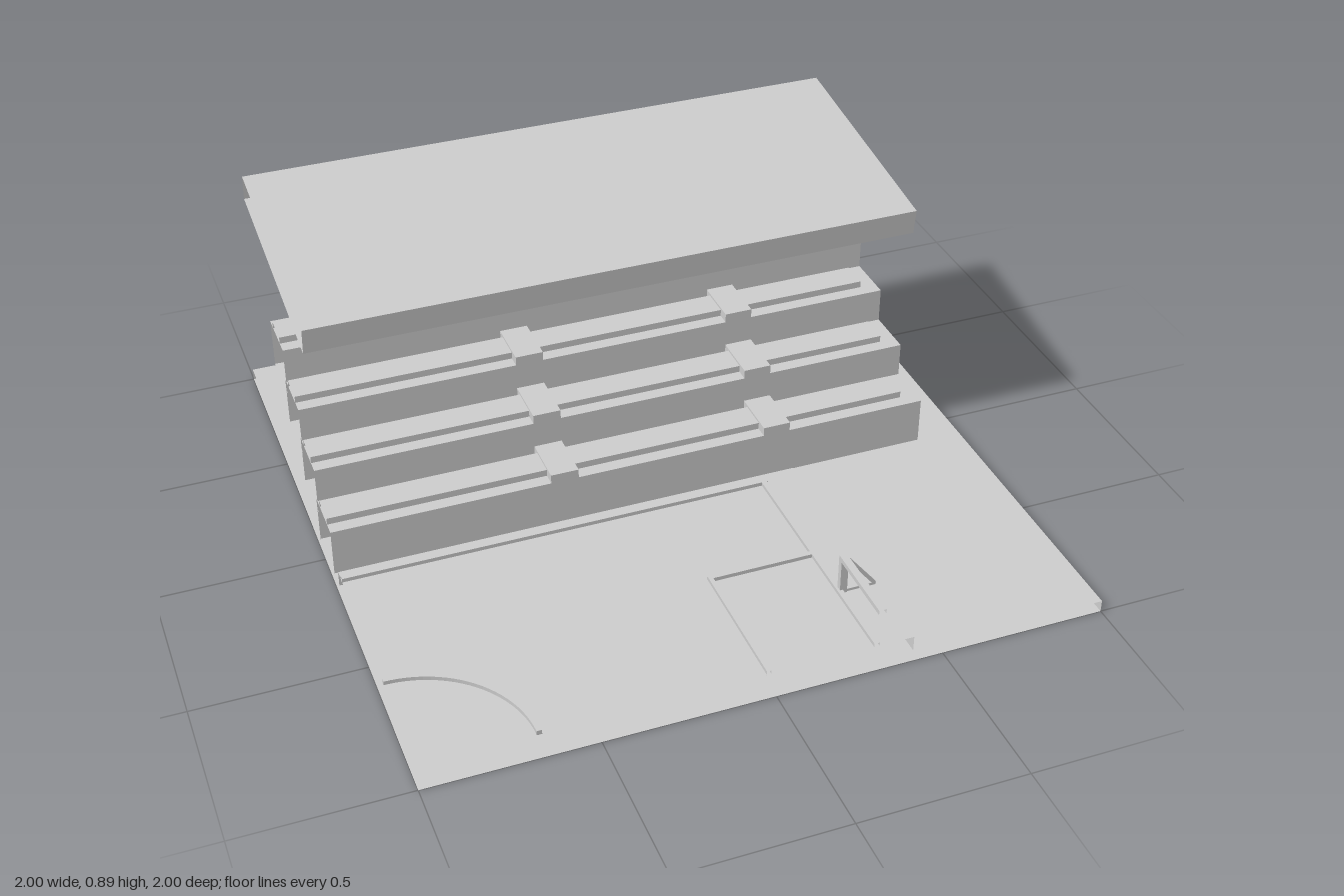
import * as THREE from 'three';

export function createModel() {
  const root = new THREE.Group();
  const grey = new THREE.MeshStandardMaterial({ color: 0xcccccc, side: THREE.DoubleSide });
  grey.name = 'plain grey';

  const add = (parent, name, geometry) => {
    const mesh = new THREE.Mesh(geometry, grey);
    mesh.name = name;
    parent.add(mesh);
    return mesh;
  };
  const group = (name) => {
    const g = new THREE.Group();
    g.name = name;
    root.add(g);
    return g;
  };

  // Box between two corners; faces lying on the cut planes x = -1 and z = 1 stay open.
  const block = (parent, name, x0, x1, y0, y1, z0, z1) => {
    const g = new THREE.BoxGeometry(x1 - x0, y1 - y0, z1 - z0);
    const all = Array.from(g.index.array);
    const kept = all.filter((_, i) => {
      const face = Math.floor(i / 6);
      return !(face === 1 && x0 <= -1) && !(face === 4 && z1 >= 1);
    });
    g.setIndex(kept);
    g.clearGroups();
    g.translate((x0 + x1) / 2, (y0 + y1) / 2, (z0 + z1) / 2);
    return add(parent, name, g);
  };

  // Ground slab
  block(root, 'ground', -1, 1, 0, 0.037, -1, 1);

  // Pitch with raised markings
  const pitch = group('pitch');
  block(pitch, 'pitchBase', -1, 0.407, 0.037, 0.086, 0.175, 1);
  const line = (name, x0, x1, z0, z1) => block(pitch, name, x0, x1, 0.084, 0.098, z0, z1);
  line('sideLine', -1, 0.305, 0.208, 0.224);
  line('goalLine', 0.286, 0.302, 0.224, 1);
  line('boxTopLine', -0.031, 0.286, 0.573, 0.588);
  line('boxFrontLine', -0.031, -0.018, 0.588, 1);

  // Quarter of the centre circle
  const arc = new THREE.Shape();
  arc.absarc(0, 0, 0.337, 0, Math.PI / 2, false);
  arc.absarc(0, 0, 0.322, Math.PI / 2, 0, true);
  const arcGeometry = new THREE.ExtrudeGeometry(arc, { depth: 0.014, bevelEnabled: false, curveSegments: 12 });
  arcGeometry.rotateX(-Math.PI / 2);
  add(pitch, 'centreCircle', arcGeometry).position.set(-1, 0.084, 1);

  // Goal frame: post, crossbar, sloping stay and ground bar
  const goal = group('goal');
  block(goal, 'goalPost', 0.293, 0.315, 0.086, 0.212, 0.745, 0.762);
  block(goal, 'crossbar', 0.293, 0.315, 0.197, 0.212, 0.762, 1);
  block(goal, 'groundBar', 0.315, 0.405, 0.086, 0.094, 0.748, 0.759);
  const from = new THREE.Vector3(0.31, 0.207, 0.754);
  const to = new THREE.Vector3(0.403, 0.09, 0.754);
  const stay = add(goal, 'goalStay', new THREE.BoxGeometry(0.01, from.distanceTo(to), 0.01));
  stay.position.copy(from).add(to).multiplyScalar(0.5);
  stay.quaternion.setFromUnitVectors(new THREE.Vector3(0, 1, 0), from.clone().sub(to).normalize());

  // Four stepped tiers, each with three benches separated by two aisle steps
  const stand = group('stand');
  for (let i = 0; i < 4; i++) {
    const y = 0.185 + i * 0.109;
    const z = 0.117 - i * 0.157;
    block(stand, 'tier', -1, 0.862, i === 0 ? 0.035 : y - 0.153, y, z - 0.17, z);
    for (const [x0, x1] of [[-1, -0.34], [-0.255, 0.335], [0.42, 0.81]]) {
      block(stand, 'bench', x0, x1, y, y + 0.021, z - 0.13, z - 0.04);
    }
    for (const [x0, x1] of [[-0.34, -0.255], [0.335, 0.42]]) {
      block(stand, 'aisleStep', x0, x1, y, y + 0.028, z - 0.155, z);
    }
  }

  // Roof on two columns
  for (const x of [-0.41, 0.613]) {
    block(root, 'roofColumn', x - 0.02, x + 0.02, 0.03, 0.72, -0.505, -0.455);
  }
  const roof = block(new THREE.Group(), 'roof', -1, 0.862, -0.041, 0.041, -0.37, 0.37);
  roof.position.set(0, 0.801, -0.378);
  roof.rotation.x = 0.134;
  root.add(roof);

  // Street lamp
  const lamp = group('streetLamp');
  lamp.position.set(0.716, 0, -0.582);
  const turned = (name, points) => {
    const g = new THREE.LatheGeometry(points.map(([r, y]) => new THREE.Vector2(r, y)), 8);
    const flat = g.toNonIndexed();
    flat.computeVertexNormals();
    return add(lamp, name, flat);
  };
  turned('lampPole', [[0, 0.045], [0.023, 0.047], [0.023, 0.06], [0.019, 0.1], [0.017, 0.29],
    [0.013, 0.3], [0.011, 0.41], [0.016, 0.425], [0.016, 0.445], [0.012, 0.46]]);
  turned('lantern', [[0, 0.455], [0.016, 0.46], [0.029, 0.48], [0.029, 0.505], [0.02, 0.54]]);
  turned('lampCap', [[0, 0.54], [0.037, 0.542], [0.035, 0.55], [0.01, 0.578], [0, 0.586]]);

  return root;
}
